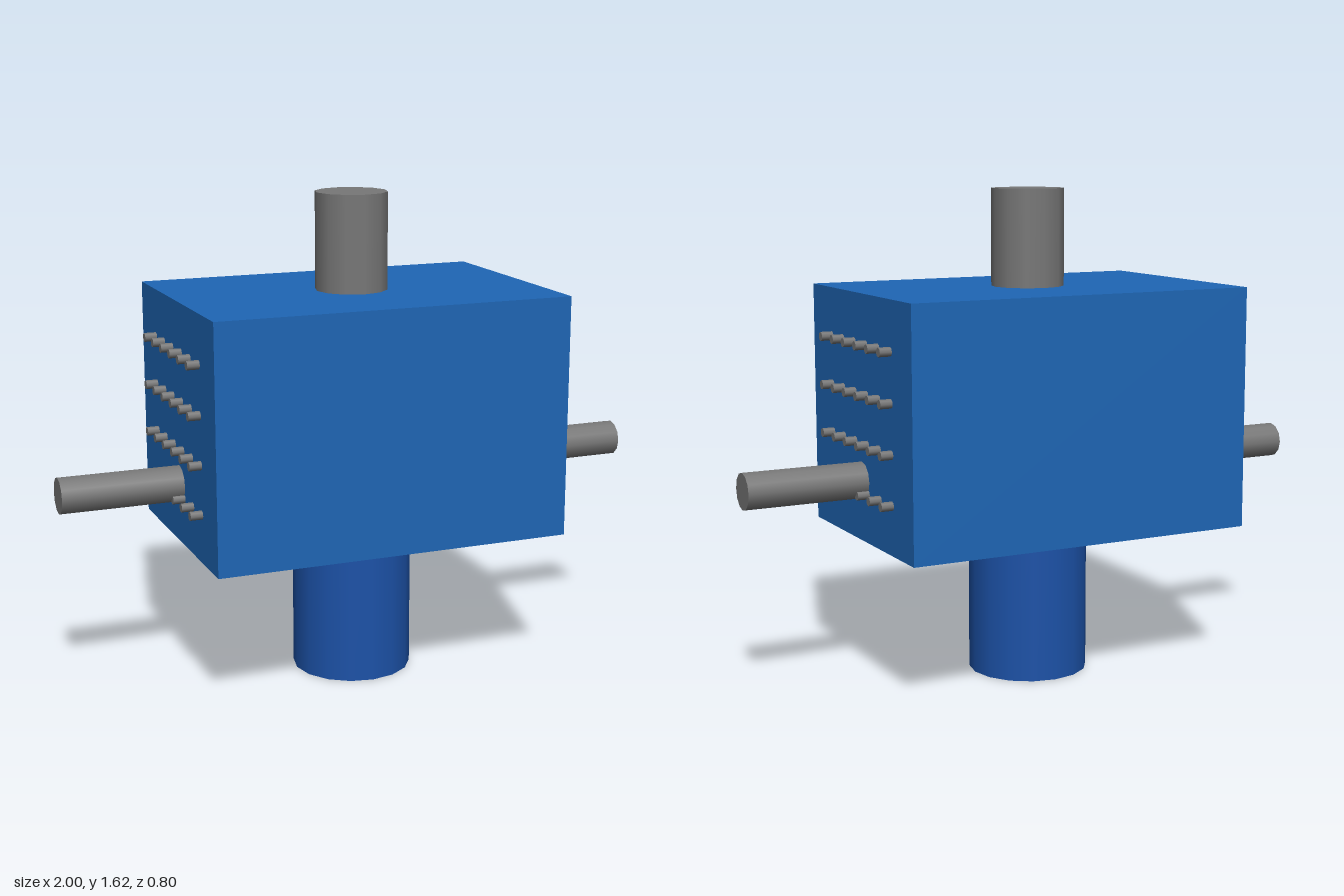
import * as THREE from 'three';

export function createModel() {
  const model = new THREE.Group();
  const bodyBlue = new THREE.MeshStandardMaterial({ color: 0x1e66b5 });
  const baseBlue = new THREE.MeshStandardMaterial({ color: 0x1c52a8 });
  const grey = new THREE.MeshStandardMaterial({ color: 0x777777 });

  function add(name, geometry, material, x, y, z, parent = model) {
    const mesh = new THREE.Mesh(geometry, material);
    mesh.name = name;
    mesh.position.set(x, y, z);
    parent.add(mesh);
    return mesh;
  }

  // Central column: base post, box body, top post
  add('basePost', new THREE.CylinderGeometry(0.2, 0.2, 0.5, 16), baseBlue, 0, 0.25, 0);
  add('body', new THREE.BoxGeometry(1.2, 0.8, 0.8), bodyBlue, 0, 0.9, 0);
  add('topPost', new THREE.CylinderGeometry(0.12, 0.12, 0.32, 12), grey, 0, 1.46, 0);

  // Side rods and grids of short pins, mirrored left and right
  const rodGeometry = new THREE.CylinderGeometry(0.06, 0.06, 0.4, 12).rotateZ(Math.PI / 2);
  const pinGeometry = new THREE.CylinderGeometry(0.015, 0.015, 0.08, 8).rotateZ(Math.PI / 2);
  for (const [side, sign] of [['left', 1], ['right', -1]]) {
    add(side + 'Rod', rodGeometry, grey, sign * 0.8, 0.7, 0);
    const pins = new THREE.Group();
    pins.name = side + 'Pins';
    for (let row = 0; row < 4; row++) {
      for (let col = 0; col < 6; col++) {
        add('pin', pinGeometry, grey, sign * 0.6, 0.66 + row * 0.16, -0.24 + col * 0.096, pins);
      }
    }
    model.add(pins);
  }
  return model;
}
